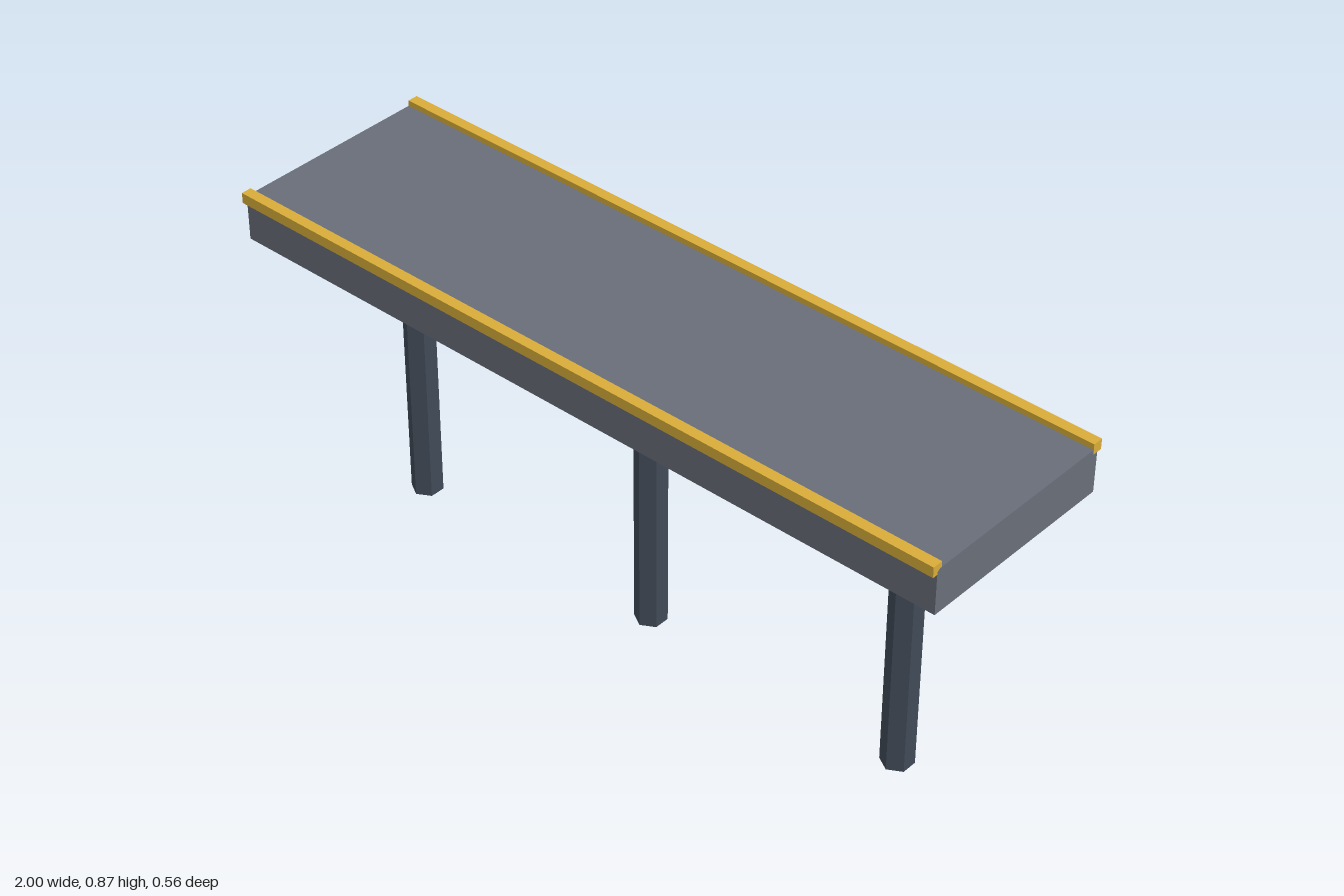
import * as THREE from 'three';

export function createModel() {
  const group = new THREE.Group();
  const mat = (color, flatShading = true) => new THREE.MeshStandardMaterial({ color, flatShading });
  const deckMat = mat(0x686e79);
  const railMat = mat(0xd9ad3a);
  const legMat = mat(0x414a57);
  const pipeMat = mat(0x5fd3da, false);

  function add(name, geometry, material, x, y, z) {
    const mesh = new THREE.Mesh(geometry, material);
    mesh.name = name;
    mesh.position.set(x, y, z);
    group.add(mesh);
    return mesh;
  }

  // Deck slab
  const bottom = 0.743, top = 0.86, halfWidth = 0.267;
  add('deck', new THREE.BoxGeometry(2, top - bottom, halfWidth * 2), deckMat, 0, (top + bottom) / 2, 0);

  // Edge rails centred on the upper long edges
  const railGeo = new THREE.BoxGeometry(2, 0.027, 0.027);
  add('frontRail', railGeo, railMat, 0, 0.861, halfWidth);
  add('backRail', railGeo, railMat, 0, 0.861, -halfWidth);

  // Hexagonal legs
  const legGeo = new THREE.CylinderGeometry(0.04, 0.04, bottom, 6);
  [['rightLeg', -0.733], ['middleLeg', 0], ['leftLeg', 0.733]].forEach(([name, x]) =>
    add(name, legGeo, legMat, x, bottom / 2, 0));

  // Pipe running under the front edge
  const pipeGeo = new THREE.CylinderGeometry(0.02, 0.02, 1.934, 24).rotateZ(Math.PI / 2);
  add('pipe', pipeGeo, pipeMat, 0, 0.718, 0.2);

  return group;
}
